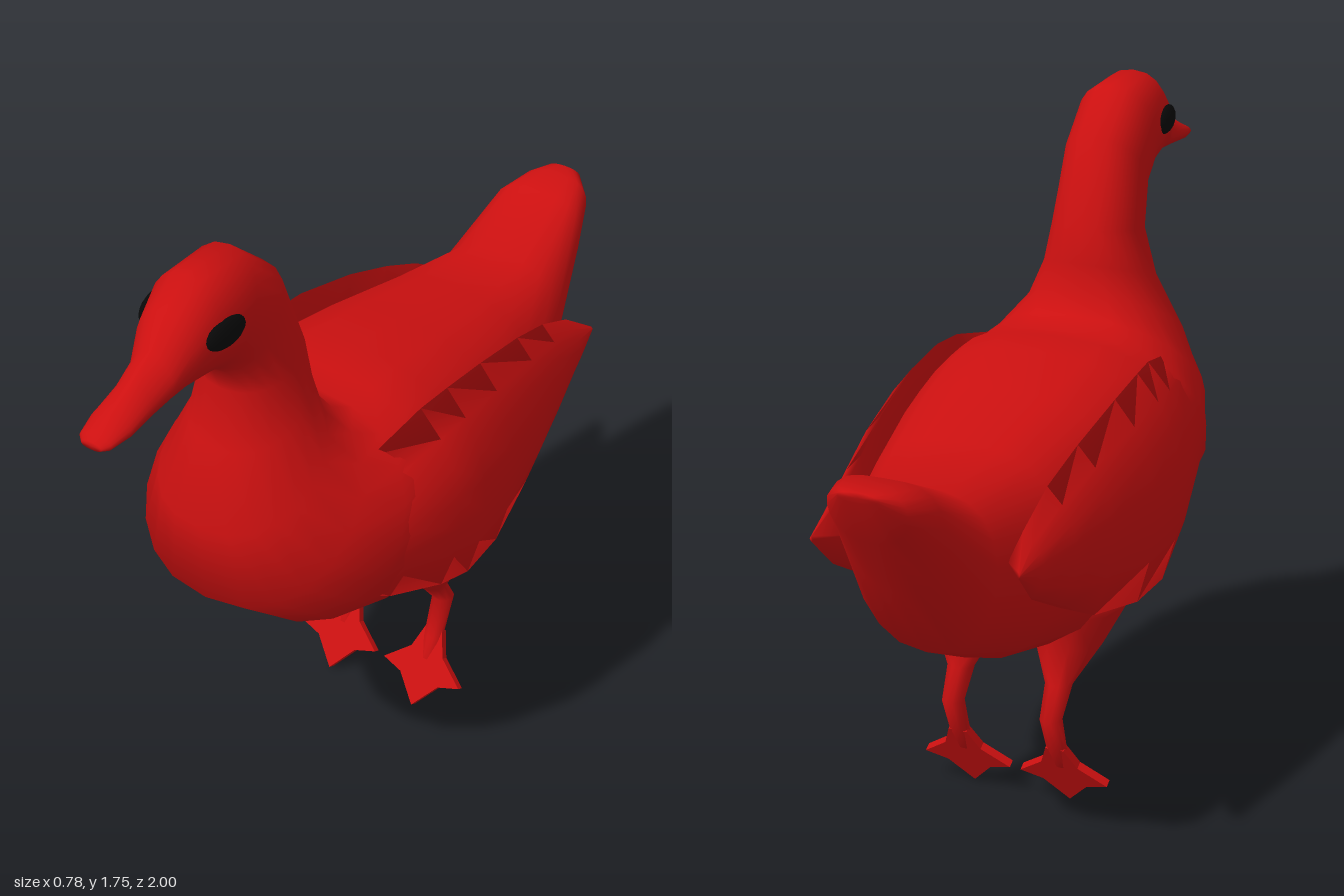
import * as THREE from 'three';

const V = (x, y, z) => new THREE.Vector3(x, y, z);

// Closed skin through a list of equal-sized rings, capped at both ends.
function loft(rings) {
  const n = rings[0].length, pos = [];
  let idx = [];
  rings.forEach(r => r.forEach(p => pos.push(p.x, p.y, p.z)));
  for (let i = 0; i < rings.length - 1; i++)
    for (let j = 0; j < n; j++) {
      const a = i * n + j, b = i * n + (j + 1) % n;
      idx.push(a, b, b + n, a, b + n, a + n);
    }
  const cap = (i, flip) => {
    const c = rings[i].reduce((s, p) => s.add(p), V(0, 0, 0)).divideScalar(n);
    const k = pos.length / 3;
    pos.push(c.x, c.y, c.z);
    for (let j = 0; j < n; j++) {
      const a = i * n + j, b = i * n + (j + 1) % n;
      idx.push(...(flip ? [k, b, a] : [k, a, b]));
    }
  };
  cap(0, true);
  cap(rings.length - 1, false);
  // turn the skin outwards if its signed volume is negative
  const at = i => V(pos[3 * i], pos[3 * i + 1], pos[3 * i + 2]);
  let vol = 0;
  for (let i = 0; i < idx.length; i += 3)
    vol += at(idx[i]).dot(at(idx[i + 1]).cross(at(idx[i + 2])));
  if (vol < 0) idx = idx.reverse();
  const g = new THREE.BufferGeometry();
  g.setAttribute('position', new THREE.Float32BufferAttribute(pos, 3));
  g.setIndex(idx);
  g.computeVertexNormals();
  return g;
}

// Tail to bill: top z, top y, bottom z, bottom y, half width, height bias of the widest line
const BODY = [
  [-1.0, 1.2, -0.99, 1.17, 0.05, 1], [-0.96, 1.197, -0.93, 1.05, 0.1, 1.3],
  [-0.87, 1.185, -0.8, 0.87, 0.14, 1.5], [-0.68, 1.09, -0.66, 0.66, 0.19, 1.3],
  [-0.45, 1.115, -0.45, 0.55, 0.265, 1.2], [-0.2, 1.16, -0.2, 0.475, 0.32, 1.2],
  [0, 1.19, 0, 0.49, 0.345, 1.2], [0.12, 1.19, 0.2, 0.545, 0.355, 1.2],
  [0.19, 1.18, 0.44, 0.65, 0.345, 1.1], [0.24, 1.205, 0.63, 0.82, 0.285, 1],
  [0.27, 1.26, 0.645, 1.04, 0.205, 0.9], [0.283, 1.33, 0.575, 1.23, 0.145, 1],
  [0.29, 1.42, 0.54, 1.38, 0.118, 1], [0.37, 1.64, 0.57, 1.45, 0.108, 1],
  [0.49, 1.745, 0.61, 1.487, 0.108, 1], [0.65, 1.75, 0.66, 1.5, 0.102, 1],
  [0.73, 1.7, 0.73, 1.505, 0.083, 0.9], [0.785, 1.625, 0.785, 1.502, 0.062, 0.7],
  [0.85, 1.59, 0.85, 1.497, 0.056, 0.6], [0.93, 1.55, 0.93, 1.491, 0.056, 0.7],
  [0.985, 1.522, 0.985, 1.488, 0.044, 1], [1.0, 1.512, 1.0, 1.492, 0.028, 1],
];

function bodyRing([tz, ty, bz, by, w, bias]) {
  return Array.from({ length: 20 }, (_, j) => {
    const a = j / 20 * Math.PI * 2, s = Math.sin(a);
    const t = Math.pow((1 - Math.cos(a)) / 2, bias);
    return V(w * Math.sign(s) * Math.pow(Math.abs(s), 0.85), ty + (by - ty) * t, tz + (bz - tz) * t);
  });
}

// Wing, front to tip: z, then x and y of the upper edge, the bulge and the lower edge
const WING = [
  [0.42, 0.17, 1.04, 0.25, 0.93, 0.2, 0.78], [0.27, 0.235, 1.12, 0.348, 0.94, 0.29, 0.71],
  [0.1, 0.26, 1.165, 0.38, 0.94, 0.33, 0.65], [0, 0.27, 1.17, 0.386, 0.94, 0.345, 0.63],
  [-0.15, 0.27, 1.155, 0.375, 0.935, 0.335, 0.63], [-0.35, 0.255, 1.11, 0.345, 0.93, 0.3, 0.675],
  [-0.5, 0.24, 1.06, 0.315, 0.925, 0.275, 0.755], [-0.63, 0.235, 1.0, 0.287, 0.925, 0.255, 0.83],
  [-0.72, 0.262, 0.937, 0.267, 0.93, 0.262, 0.922],
];

function wingRing([z, tx, ty, mx, my, bx, by], side) {
  const curve = new THREE.QuadraticBezierCurve(
    new THREE.Vector2(tx, ty),
    new THREE.Vector2(2 * mx - (tx + bx) / 2, 2 * my - (ty + by) / 2),
    new THREE.Vector2(bx, by));
  const pts = curve.getPoints(6).map(p => V(side * p.x, p.y, z));
  // inner face tucked against the body
  const inset = z < -0.7 ? 0.008 : 0.09;
  pts.push(V(side * (mx - inset), (ty + by) / 2, z));
  return pts;
}

// Thigh and shank: x, y, z, radius in x, radius in z
const LEG = [
  [0.17, 0.66, -0.08, 0.14, 0.17], [0.165, 0.58, -0.09, 0.115, 0.13],
  [0.14, 0.48, -0.11, 0.09, 0.09], [0.135, 0.38, -0.168, 0.037, 0.037],
  [0.135, 0.3, -0.222, 0.03, 0.028], [0.135, 0.19, -0.18, 0.028, 0.02],
  [0.135, 0.13, -0.15, 0.02, 0.014],
];

function legRing([x, y, z, rx, rz], side) {
  return Array.from({ length: 10 }, (_, j) => {
    const a = j / 10 * Math.PI * 2;
    return V(side * (x + rx * Math.cos(a)), y, z + rz * Math.sin(a));
  });
}

// Webbed foot with three toes, drooping from the ankle
function footGeometry() {
  const outline = [[-0.025, 0], [-0.05, -0.07], [-0.12, -0.13], [-0.06, -0.15], [0, -0.225],
    [0.06, -0.15], [0.12, -0.13], [0.05, -0.07], [0.025, 0]];
  const shape = new THREE.Shape(outline.map(p => new THREE.Vector2(...p)));
  const g = new THREE.ExtrudeGeometry(shape, { depth: 0.022, bevelEnabled: false });
  return g.translate(0, 0, -0.011).rotateX(-0.5);
}

export function createModel() {
  const group = new THREE.Group();
  const red = new THREE.MeshStandardMaterial({ color: 0xcc1010 });
  const black = new THREE.MeshStandardMaterial({ color: 0x080808 });
  const add = (name, geometry, material = red) => {
    const mesh = new THREE.Mesh(geometry, material);
    mesh.name = name;
    group.add(mesh);
    return mesh;
  };

  add('bodyNeckHeadAndBill', loft(BODY.map(bodyRing)));

  for (const side of [1, -1]) {
    const label = side > 0 ? 'left' : 'right';
    add(label + 'Wing', loft(WING.map(w => wingRing(w, side))));
    add(label + 'Leg', loft(LEG.map(l => legRing(l, side))));
    add(label + 'Foot', footGeometry()).position.set(side * 0.135, 0.205, -0.19);

    // flattened oval eye
    const eye = add(label + 'Eye', new THREE.SphereGeometry(1, 16, 10), black);
    eye.scale.set(0.02, 0.037, 0.063);
    eye.position.set(side * 0.097, 1.63, 0.64);
    eye.rotation.y = side * -0.08;
  }
  return group;
}
